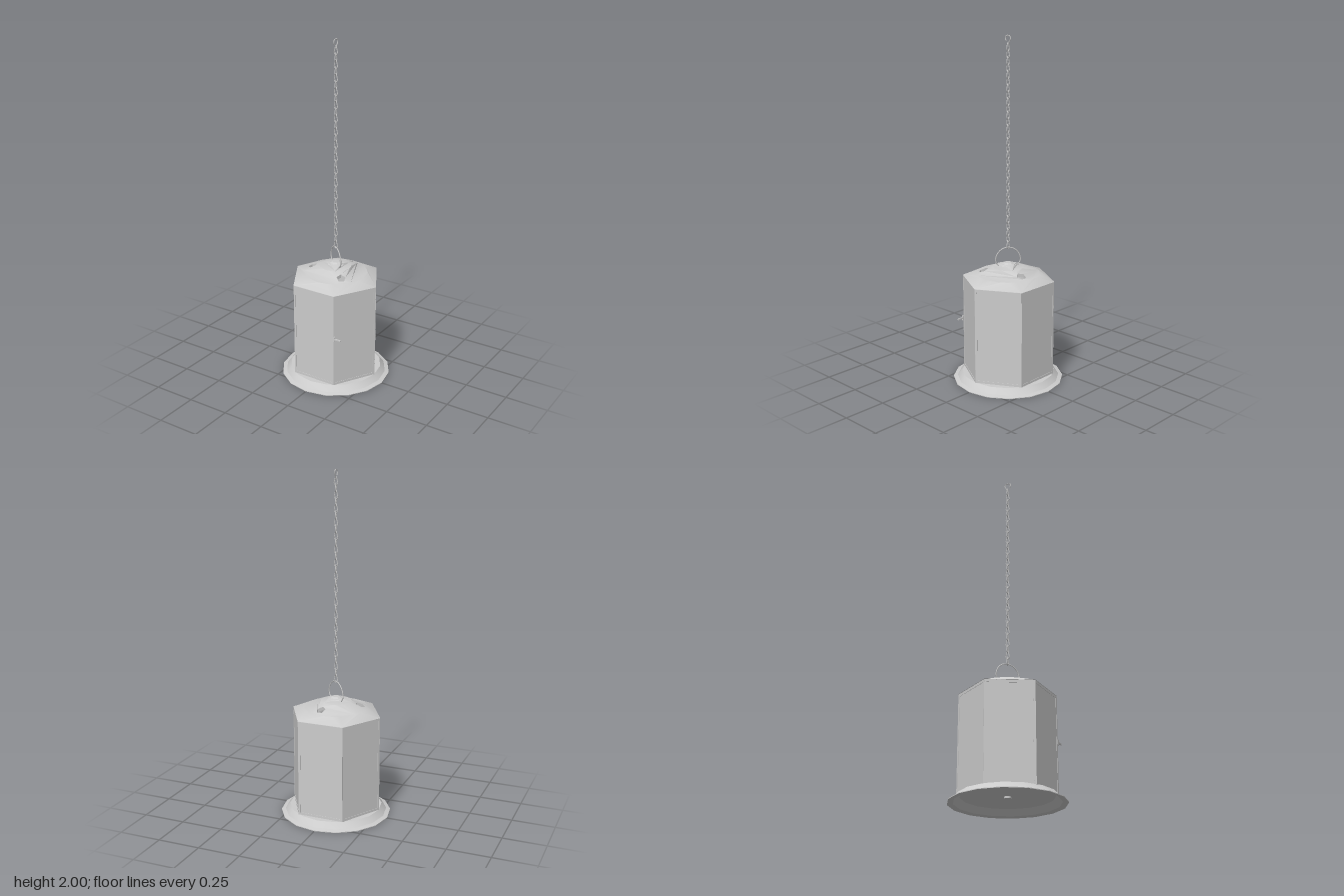
import * as THREE from 'three';
import { mergeGeometries, mergeVertices, toCreasedNormals } from 'three/addons/utils/BufferGeometryUtils.js';

export function createModel() {
  const model = new THREE.Group();
  model.name = 'hangingLantern';
  const metal = new THREE.MeshStandardMaterial({ color: 0xcccccc, side: THREE.DoubleSide });
  metal.name = 'light grey metal';

  const add = (name, geometry, parent = model) => {
    const mesh = new THREE.Mesh(geometry, metal);
    mesh.name = name;
    parent.add(mesh);
    return mesh;
  };
  const ring = (radius, sides) => Array.from({ length: sides }, (_, i) => {
    const a = (i / sides) * Math.PI * 2;
    return new THREE.Vector2(radius * Math.cos(a), radius * Math.sin(a));
  });

  // Base tray: flared rim with a recessed underside
  const trayProfile = [[0, 0.04], [0.255, 0.04], [0.29, 0.008], [0.322, 0.003], [0.322, 0.007],
    [0.298, 0.014], [0.27, 0.046], [0, 0.046]].map(([x, y]) => new THREE.Vector2(x, y));
  add('baseTray', toCreasedNormals(new THREE.LatheGeometry(trayProfile, 16), 0.3));
  const nub = add('baseNub', new THREE.CylinderGeometry(0.02, 0.02, 0.012, 8));
  nub.position.y = 0.036;

  // Six walls, each a thin frame around a slightly recessed panel
  const bottom = 0.045, top = 0.61, half = 0.135, apothem = 0.235;
  const frameShape = new THREE.Shape([
    new THREE.Vector2(-half, bottom), new THREE.Vector2(half, bottom),
    new THREE.Vector2(half, top), new THREE.Vector2(-half, top)]);
  frameShape.holes.push(new THREE.Path([
    new THREE.Vector2(-half + 0.012, bottom + 0.015), new THREE.Vector2(-half + 0.012, top - 0.015),
    new THREE.Vector2(half - 0.012, top - 0.015), new THREE.Vector2(half - 0.012, bottom + 0.015)]));
  const frameGeometry = new THREE.ExtrudeGeometry(frameShape, { depth: 0.005, bevelEnabled: false });
  const panelGeometry = new THREE.BoxGeometry(half * 2 - 0.02, top - bottom - 0.024, 0.004);
  for (let i = 0; i < 6; i++) {
    const wall = new THREE.Group();
    wall.name = i === 1 ? 'door' : 'wall';
    wall.rotation.y = (i * Math.PI) / 3;
    add('wallFrame', frameGeometry, wall).position.z = apothem - 0.005;
    add('wallPanel', panelGeometry, wall).position.set(0, (bottom + top) / 2, apothem - 0.004);
    model.add(wall);
  }

  // Door latch
  const latch = new THREE.Group();
  latch.name = 'doorLatch';
  latch.position.set(0.135, 0.345, 0.234);
  add('latchPlate', new THREE.BoxGeometry(0.012, 0.03, 0.006), latch).position.x = 0.004;
  add('latchLever', new THREE.BoxGeometry(0.04, 0.008, 0.006), latch).position.x = 0.027;
  model.add(latch);

  // Roof: hexagonal eave rising to a round crown, with three vent holes
  const profile = [[0, 0.707], [0.04, 0.702], [0.09, 0.684], [0.185, 0.645], [0.235, 0.612], [0.3, 0.612]];
  const roofHeight = (r) => {
    const k = Math.max(1, profile.findIndex((p) => p[0] >= r));
    const [r0, y0] = profile[k - 1], [r1, y1] = profile[k];
    return y0 + ((y1 - y0) * (r - r0)) / (r1 - r0);
  };
  const vents = [[0.035, -0.138], [-0.138, 0.035], [0.1, 0.1]];
  const ventRadius = 0.027;
  const ventPaths = vents.map(([x, z]) => new THREE.Path(ring(ventRadius, 5).map(
    (p) => new THREE.Vector2(x + p.y, -z - p.x))));
  const band = (outer, inner, holes = []) => {
    const shape = new THREE.Shape(outer);
    if (inner) shape.holes.push(new THREE.Path(inner));
    shape.holes.push(...holes);
    const g = new THREE.ShapeGeometry(shape).rotateX(-Math.PI / 2);
    const p = g.attributes.position;
    for (let i = 0; i < p.count; i++) p.setY(i, roofHeight(Math.hypot(p.getX(i), p.getZ(i))));
    g.deleteAttribute('uv');
    g.deleteAttribute('normal');
    return g;
  };
  const roof = mergeVertices(mergeGeometries([
    band(ring(0.272, 6), ring(0.184, 24)),
    band(ring(0.184, 24), ring(0.09, 24), ventPaths),
    band(ring(0.09, 24), ring(0.04, 24)),
    band(ring(0.04, 24)),
  ]), 1e-4);
  add('roof', toCreasedNormals(roof, 0.7));

  // Short pentagonal sleeves inside the vent holes
  for (const [x, z] of vents) {
    const g = new THREE.CylinderGeometry(ventRadius, ventRadius, 0.03, 5, 1, true).translate(x, 0, z);
    const p = g.attributes.position;
    for (let i = 0; i < p.count; i++) {
      const y = roofHeight(Math.hypot(p.getX(i), p.getZ(i)));
      p.setY(i, p.getY(i) > 0 ? y : y - 0.02);
    }
    add('ventSleeve', toCreasedNormals(g, 0.3));
  }

  // Crown cap and bail handle
  const cap = add('crownCap', toCreasedNormals(new THREE.CylinderGeometry(0.022, 0.05, 0.014, 8), 0.3));
  cap.position.y = 0.702;
  const bailPoints = [[-0.055, 0.69], [-0.072, 0.715], [-0.066, 0.755], [-0.038, 0.787], [0, 0.798],
    [0.038, 0.787], [0.066, 0.755], [0.072, 0.715], [0.055, 0.69]]
    .map(([x, y]) => new THREE.Vector3(x, y, 0));
  const bail = add('bailHandle', new THREE.TubeGeometry(new THREE.CatmullRomCurve3(bailPoints), 24, 0.0035, 5));
  bail.rotation.y = -0.6;

  // Chain of pointed links, alternately turned by a quarter
  const linkPath = new THREE.CatmullRomCurve3([[0, 0.026], [0.007, 0.008], [0.011, -0.014], [0, -0.025],
    [-0.011, -0.014], [-0.007, 0.008]].map(([x, y]) => new THREE.Vector3(x, y, 0)), true, 'catmullrom', 0.2);
  const linkGeometry = new THREE.TubeGeometry(linkPath, 12, 0.0028, 5, true);
  const chain = new THREE.Group();
  chain.name = 'chain';
  const links = 31;
  for (let i = 0; i < links; i++) {
    const link = add('chainLink', linkGeometry, chain);
    link.position.y = 0.815 + (i * 1.12) / (links - 1);
    link.rotation.y = (i % 2) * Math.PI / 2;
  }
  model.add(chain);

  // Open hook at the top of the chain
  const hookPoints = [[0, 1.945], [-0.008, 1.96], [-0.018, 1.978], [-0.014, 1.993], [0, 1.997],
    [0.016, 1.992], [0.02, 1.978], [0.014, 1.968]].map(([z, y]) => new THREE.Vector3(0, y, z));
  add('topHook', new THREE.TubeGeometry(new THREE.CatmullRomCurve3(hookPoints), 20, 0.003, 5));

  return model;
}
